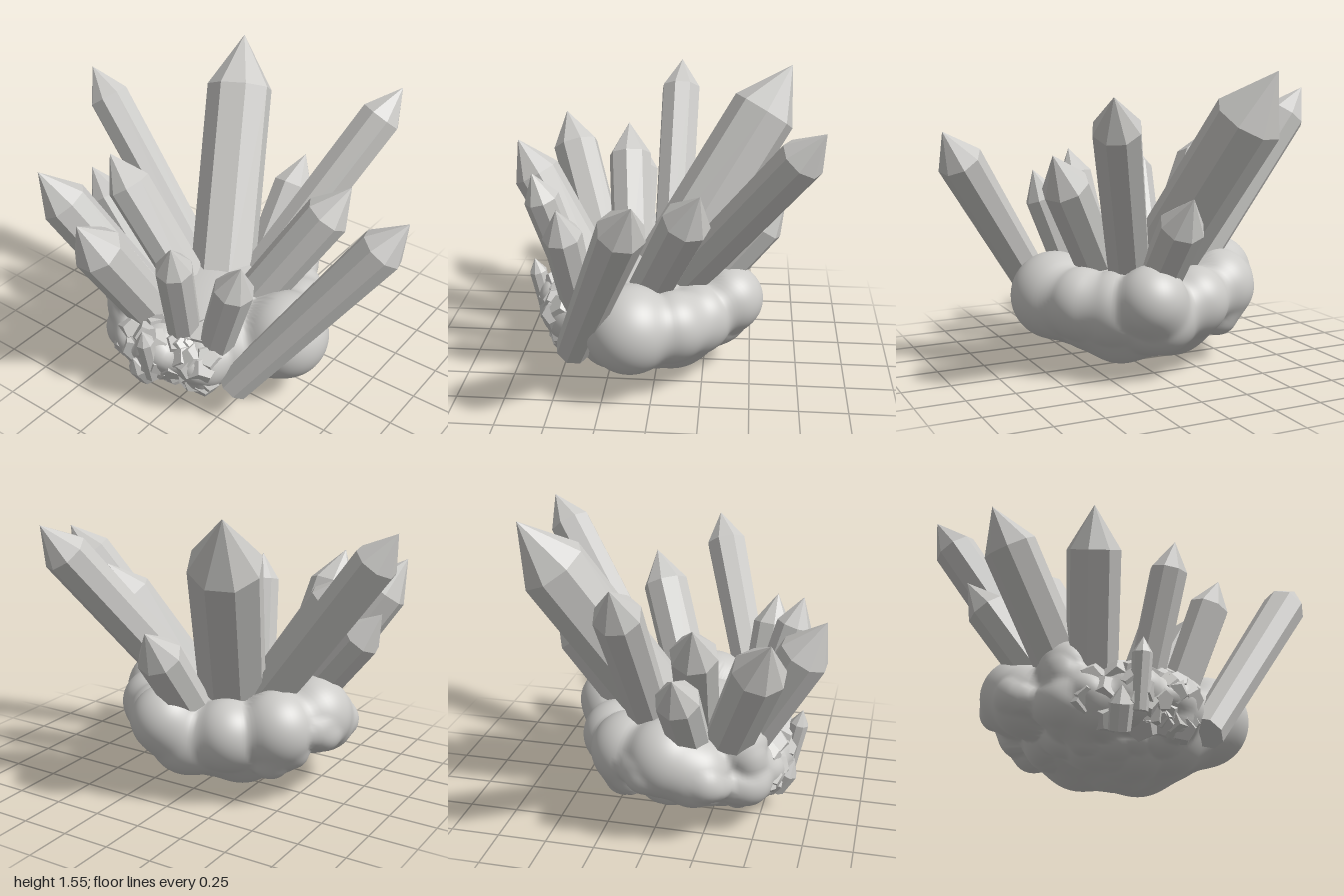
import * as THREE from 'three';
import { mergeGeometries, mergeVertices } from 'three/addons/utils/BufferGeometryUtils.js';

const V = (x, y, z) => new THREE.Vector3(x, y, z);

// Seeded random numbers
function seeded(seed) {
  return () => {
    seed = (seed * 16807) % 2147483647;
    return seed / 2147483647;
  };
}

// Faceted prism with a pointed end, running from base to tip
function crystalGeometry(base, tip, radius, taper, turn) {
  const axis = tip.clone().sub(base);
  const length = axis.length();
  const point = Math.min(radius * 1.6, length * 0.4);
  const shaft = length - point;
  const sides = 8;
  const prism = new THREE.CylinderGeometry(radius, radius * taper, shaft, sides).translate(0, shaft / 2, 0);
  const cap = new THREE.ConeGeometry(radius, point, sides, 1, true).translate(0, shaft + point / 2, 0);
  const geometry = mergeGeometries([prism, cap]).toNonIndexed();
  geometry.rotateY(turn);
  geometry.applyQuaternion(new THREE.Quaternion().setFromUnitVectors(V(0, 1, 0), axis.normalize()));
  geometry.translate(base.x, base.y, base.z);
  geometry.computeVertexNormals();
  return geometry;
}

// name, base, tip, radius, taper towards the base
const CRYSTALS = [
  ['tallCrystal', [-0.08, 0.4, 0.02], [-0.44, 1.55, -0.68], 0.178, 1],
  ['backLeftCrystal', [0.04, 0.4, -0.06], [0.48, 1.45, -0.81], 0.115, 0.97],
  ['leftCrystal', [0.3, 0.2, 0.42], [1.0, 1.26, 0.03], 0.115, 0.8],
  ['rightCrystal', [-0.25, 0.4, -0.05], [-1.0, 1.44, -0.06], 0.112, 0.95],
  ['frontRightCrystal', [-0.3, 0.35, 0.3], [-0.79, 1.17, 0.6], 0.13, 0.95],
  ['frontCrystal', [-0.24, 0.35, 0.36], [-0.34, 1.13, 0.8], 0.13, 0.95],
  ['frontMiddleCrystal', [-0.01, 0.35, 0.42], [0.1, 1.09, 0.64], 0.093, 0.95],
  ['frontLeftCrystal', [0.14, 0.3, 0.39], [0.38, 1.0, 0.47], 0.102, 0.9],
  ['innerLeftCrystal', [0.12, 0.4, 0.07], [0.54, 1.15, -0.24], 0.122, 0.95],
  ['backCrystal', [0.0, 0.4, -0.22], [0.0, 0.96, -0.66], 0.115, 0.95],
  ['innerRightCrystal', [-0.15, 0.4, 0.15], [-0.65, 1.15, 0.22], 0.118, 0.95],
  ['outerRightCrystal', [-0.35, 0.35, 0.17], [-0.84, 0.98, 0.17], 0.108, 0.95],
  ['smallFrontCrystal', [-0.08, 0.2, 0.61], [-0.075, 0.54, 0.68], 0.048, 0.9],
  ['tinyFrontCrystal', [-0.16, 0.12, 0.56], [-0.17, 0.3, 0.66], 0.06, 0.9],
];

// Rock lobes: x, y, z, radius
const CENTRE = V(-0.03, 0.33, 0.05);
const LOBES = [
  [0.4, 0.38, 0.11, 0.23], [0.34, 0.38, -0.1, 0.18], [0.3, 0.32, 0.14, 0.2],
  [0.08, 0.42, -0.38, 0.18], [0.21, 0.37, -0.22, 0.18],
  [0.0, 0.32, -0.3, 0.2], [-0.22, 0.37, -0.27, 0.18],
  [-0.43, 0.4, -0.14, 0.2], [-0.53, 0.43, 0.06, 0.2], [-0.51, 0.36, 0.2, 0.18],
  [-0.33, 0.28, 0.4, 0.17], [-0.36, 0.46, 0.39, 0.15], [-0.1, 0.3, 0.49, 0.16],
  [0.12, 0.3, 0.43, 0.16], [-0.24, 0.24, 0.46, 0.14], [0.0, 0.2, 0.25, 0.19],
  [-0.2, 0.2, 0.28, 0.18], [0.12, 0.22, -0.1, 0.18], [-0.2, 0.22, -0.08, 0.18],
  [0.18, 0.22, 0.23, 0.17], [-0.03, 0.19, 0.05, 0.18],
].map(([x, y, z, r]) => ({ p: V(x, y, z).sub(CENTRE), r }));

// Distance from the rock centre to its skin: flattened core plus the farthest lobe
function skin(d, lobes) {
  const up = d.y > 0 ? 0.25 : 0.3;
  let far = 1 / Math.hypot(d.x / 0.52, d.y / up, d.z / 0.48);
  for (const { p, r } of lobes) {
    const along = d.dot(p);
    const disc = r * r - p.lengthSq() + along * along;
    if (along > 0 && disc > 0) {
      const t = along + Math.sqrt(disc);
      // smooth blend keeps the valleys between lobes soft
      const h = Math.max(0.06 - Math.abs(far - t), 0) / 0.06;
      far = Math.max(far, t) + h * h * 0.015;
    }
  }
  return far;
}

export function createModel() {
  const group = new THREE.Group();
  const stone = new THREE.MeshStandardMaterial({ color: 0xcccbc8 });
  stone.name = 'paleGreyStone';
  const add = (name, geometry) => {
    const mesh = new THREE.Mesh(geometry, stone);
    mesh.name = name;
    group.add(mesh);
  };
  const random = seeded(4217);

  // Crystals
  CRYSTALS.forEach(([name, base, tip, radius, taper], i) =>
    add(name, crystalGeometry(V(...base), V(...tip), radius, taper, i * 0.7)));

  // Small nodules on the front and right of the rock
  const lobes = [...LOBES];
  for (let i = 0; i < 26; i++) {
    const angle = -0.4 + random() * 2.5;
    const d = V(-Math.sin(angle), -0.55 + random() * 0.75, Math.cos(angle)).normalize();
    const r = 0.06 + random() * 0.05;
    lobes.push({ p: d.clone().multiplyScalar(skin(d, LOBES) - r * 0.85), r });
  }

  // Rock base
  let rock = new THREE.SphereGeometry(1, 180, 120);
  rock.deleteAttribute('uv');
  rock.deleteAttribute('normal');
  rock = mergeVertices(rock, 1e-5);
  const pos = rock.attributes.position;
  const d = V(0, 0, 0);
  for (let i = 0; i < pos.count; i++) {
    d.fromBufferAttribute(pos, i).normalize();
    const t = skin(d, lobes);
    d.multiplyScalar(t).add(CENTRE);
    pos.setXYZ(i, d.x, Math.max(d.y, 0), d.z);
  }
  rock.computeVertexNormals();
  add('rockBase', rock);

  // Angular chips mostly sunk into the front
  const chips = [];
  for (let i = 0; i < 40; i++) {
    const dir = V(-0.65 + random() * 1.15, -0.32 + random() * 0.6, 1).normalize();
    const r = 0.07 + random() * 0.03;
    const chip = new THREE.DodecahedronGeometry(r, 0);
    chip.rotateX(random() * 6).rotateY(random() * 6);
    const at = dir.clone().multiplyScalar(skin(dir, lobes) - r * 0.8).add(CENTRE);
    chips.push(chip.translate(at.x, at.y, at.z));
  }
  add('frontChips', mergeGeometries(chips));

  return group;
}
